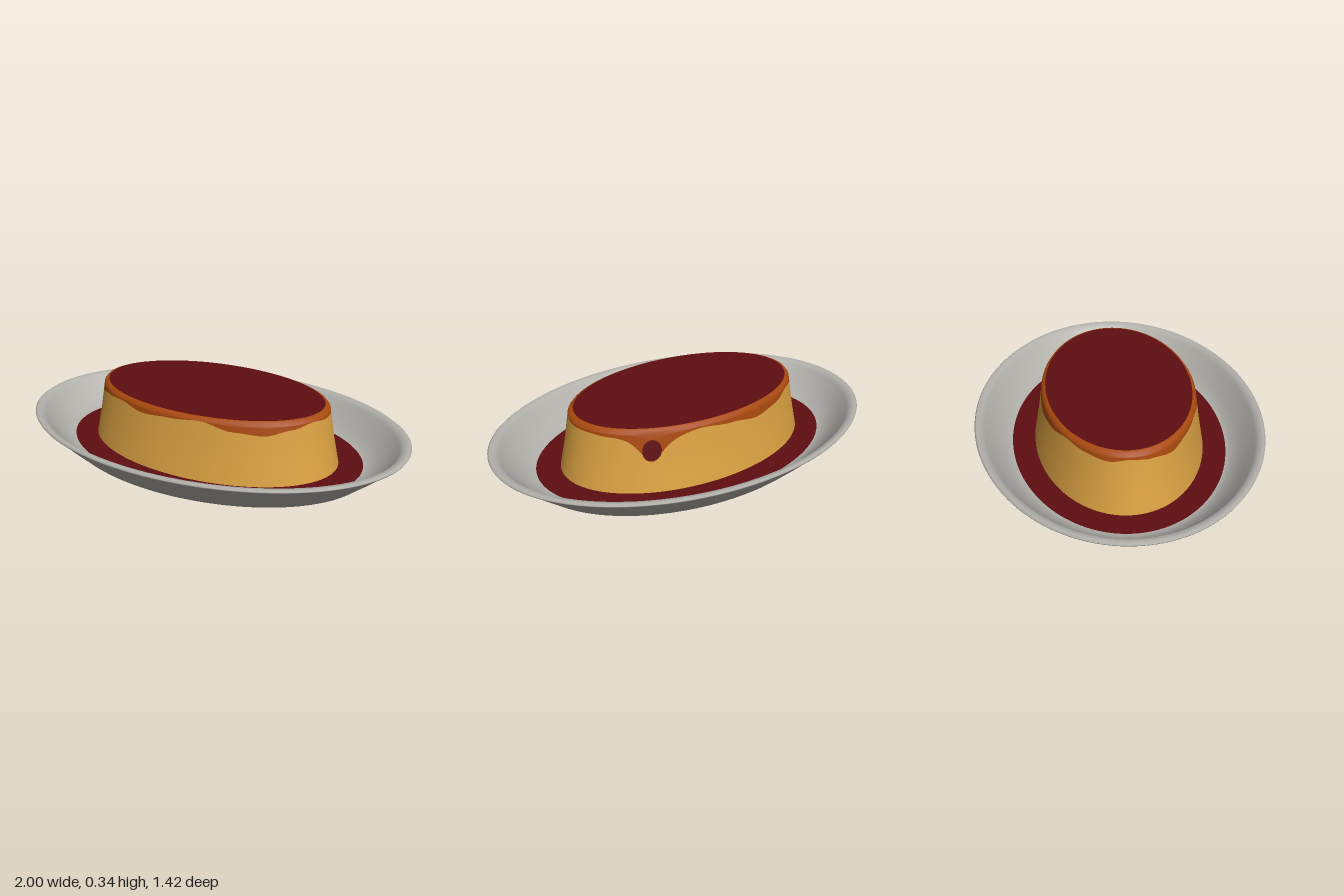
import * as THREE from 'three';

const SEG = 128;
const mat = (name, color) => new THREE.MeshStandardMaterial({ name, color });

// Skin a surface through oval loops; section(i, t) returns [rx, rz, y] at angle t.
function ovalSkin(name, count, section, material) {
  const pos = [], index = [];
  for (let i = 0; i < count; i++) {
    for (let j = 0; j < SEG; j++) {
      const t = (j / SEG) * Math.PI * 2;
      const [rx, rz, y] = section(i, t);
      pos.push(rx * Math.cos(t), y, rz * Math.sin(t));
      if (i === count - 1) continue;
      const a = i * SEG + j, b = i * SEG + (j + 1) % SEG;
      index.push(a, a + SEG, b, b, a + SEG, b + SEG);
    }
  }
  const g = new THREE.BufferGeometry();
  g.setAttribute('position', new THREE.Float32BufferAttribute(pos, 3));
  g.setIndex(index);
  g.computeVertexNormals();
  const mesh = new THREE.Mesh(g, material);
  mesh.name = name;
  return mesh;
}
const fromProfile = (name, p, material) => ovalSkin(name, p.length, (i) => p[i], material);

// Pudding side: [rx, rz, y] from base to top edge
const WALL = [[0.67, 0.425, 0.03], [0.637, 0.397, 0.18], [0.613, 0.376, 0.318],
  [0.602, 0.367, 0.331], [0.585, 0.355, 0.335]];
function wallAt(y) {
  let k = 0;
  while (k < WALL.length - 2 && y > WALL[k + 1][2]) k++;
  const a = WALL[k], b = WALL[k + 1], f = (y - a[2]) / (b[2] - a[2]);
  return [a[0] + (b[0] - a[0]) * f, a[1] + (b[1] - a[1]) * f, y];
}

// Wavy lower edge of the soaked glaze, as heights spaced evenly around the oval
const EDGE = [0.305, 0.315, 0.295, 0.273, 0.285, 0.318, 0.305, 0.291, 0.31, 0.3, 0.28, 0.295,
  0.305, 0.29, 0.3, 0.31, 0.285, 0.272, 0.295, 0.31, 0.29, 0.285, 0.3, 0.306];
const DRIP = Math.PI * 2 - 0.895;
function edgeAt(t) {
  const n = EDGE.length, u = (t / (Math.PI * 2)) * n, k = Math.floor(u), f = u - k;
  const s = f * f * (3 - 2 * f);
  const y = EDGE[k % n] * (1 - s) + EDGE[(k + 1) % n] * s;
  return y - 0.09 * Math.exp(-(((t - DRIP) / 0.13) ** 2));
}

export function createModel() {
  const group = new THREE.Group();
  const china = mat('china', 0xb4b2ad);
  const caramel = mat('caramel', 0x5e0e10);
  const glaze = mat('glaze', 0xa8490e);
  const custard = mat('custard', 0xdaa142);

  // Oval dish: foot, flared outside, rolled rim, curved inside
  group.add(fromProfile('dish', [
    [0.64, 0.42, 0.015], [0.67, 0.445, 0.004], [0.72, 0.485, 0], [0.775, 0.525, 0.001],
    [0.81, 0.555, 0.015], [0.9, 0.63, 0.09], [0.975, 0.69, 0.157], [0.997, 0.708, 0.17],
    [1, 0.711, 0.177], [0.99, 0.703, 0.184], [0.965, 0.682, 0.18], [0.945, 0.664, 0.163],
    [0.91, 0.63, 0.12], [0.86, 0.59, 0.078], [0.82, 0.56, 0.054], [0.785, 0.535, 0.042],
    [0.7, 0.46, 0.036],
  ], china));

  // Caramel pool in the dish and the dark underside
  group.add(fromProfile('caramelPool', [[0.785, 0.535, 0.043], [0.6, 0.38, 0.043]], caramel));
  group.add(fromProfile('underside', [[0, 0, 0.015], [0.64, 0.42, 0.015]], caramel));

  // Custard body up to the wavy edge
  group.add(ovalSkin('custardBody', 7, (i, t) => {
    const e = edgeAt(t);
    return wallAt(0.03 + (e - 0.03) * (i / 6));
  }, custard));

  // Glaze band from the wavy edge over the rounded shoulder
  group.add(ovalSkin('glazeBand', 7, (i, t) => {
    const e = edgeAt(t);
    if (i < 5) return wallAt(e + (0.318 - e) * Math.min(1, i / 4));
    return WALL[i - 2];
  }, glaze));

  // Caramel top
  group.add(fromProfile('caramelTop', [[0.587, 0.357, 0.3352], [0.3, 0.18, 0.3355], [0, 0, 0.3355]], caramel));

  // Caramel drip: a rounded patch lying just over the side
  const n = 24, pos = [], index = [];
  for (let k = 0; k <= n; k++) {
    const a = (k / n) * Math.PI * 2, r = k === n ? 0 : 1;
    const t = DRIP + 0.08 * r * Math.cos(a), [rx, rz, y] = wallAt(0.24 + 0.05 * r * Math.sin(a));
    pos.push((rx + 0.004) * Math.cos(t), y, (rz + 0.004) * Math.sin(t));
    if (k < n) index.push(n, (k + 1) % n, k);
  }
  const g = new THREE.BufferGeometry();
  g.setAttribute('position', new THREE.Float32BufferAttribute(pos, 3));
  g.setIndex(index);
  g.computeVertexNormals();
  const drip = new THREE.Mesh(g, caramel);
  drip.name = 'caramelDrip';
  caramel.side = THREE.DoubleSide;
  group.add(drip);

  return group;
}
